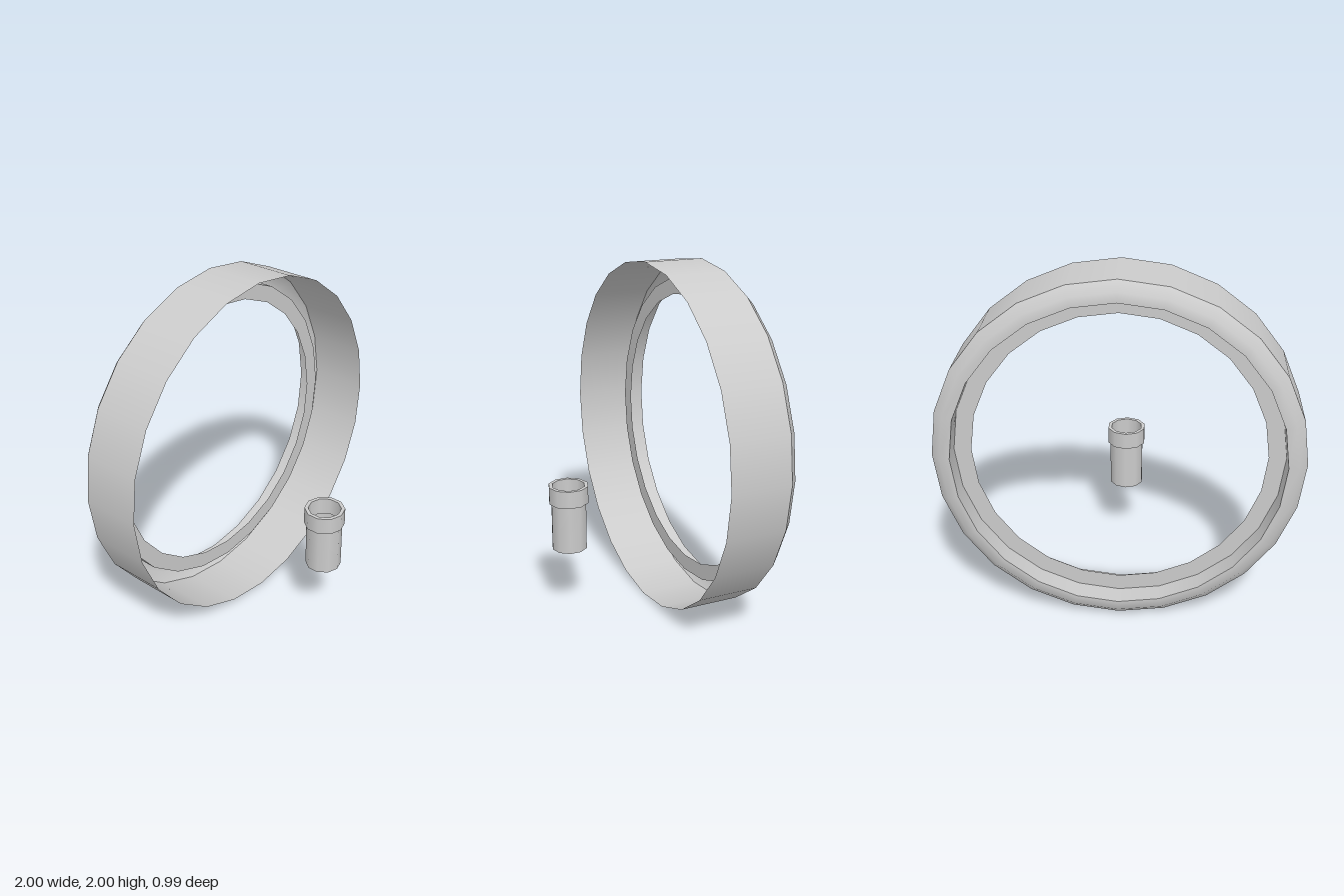
import * as THREE from 'three';

const grey = new THREE.MeshStandardMaterial({ color: 0xcccccc, side: THREE.DoubleSide });

// Revolves one smooth strip of a profile; separate strips keep creases sharp.
function strip(name, points, sides) {
  const profile = points.map(([r, h]) => new THREE.Vector2(r, h));
  const mesh = new THREE.Mesh(new THREE.LatheGeometry(profile, sides), grey);
  mesh.name = name;
  return mesh;
}

function revolved(name, sides, strips) {
  const group = new THREE.Group();
  group.name = name;
  for (const [part, points] of Object.entries(strips)) group.add(strip(part, points, sides));
  return group;
}

export function createModel() {
  const model = new THREE.Group();
  model.name = 'ringAndTube';

  // Hollow ring: thin outer wall, bevelled back rim and a recessed inner flange
  const ring = revolved('ring', 24, {
    outerWall: [[1, 0.09], [1, 0.44]],
    backRim: [[1, 0.44], [0.95, 0.49], [0.895, 0.49]],
    innerCollar: [[0.895, 0.49], [0.895, 0.37]],
    innerFlange: [[0.895, 0.37], [0.8, 0.37]],
  });
  ring.rotation.x = -Math.PI / 2;
  ring.position.y = 1;

  // Open tube with a wider collar at the top
  const tube = revolved('tube', 10, {
    tubeBody: [[0.102, 0.4], [0.102, 0.68]],
    collarUnderside: [[0.102, 0.68], [0.115, 0.68]],
    collarWall: [[0.115, 0.68], [0.115, 0.78]],
    collarTop: [[0.115, 0.78], [0.094, 0.78]],
    collarBore: [[0.094, 0.78], [0.094, 0.68]],
  });
  tube.position.z = 0.38;

  model.add(ring, tube);
  return model;
}
